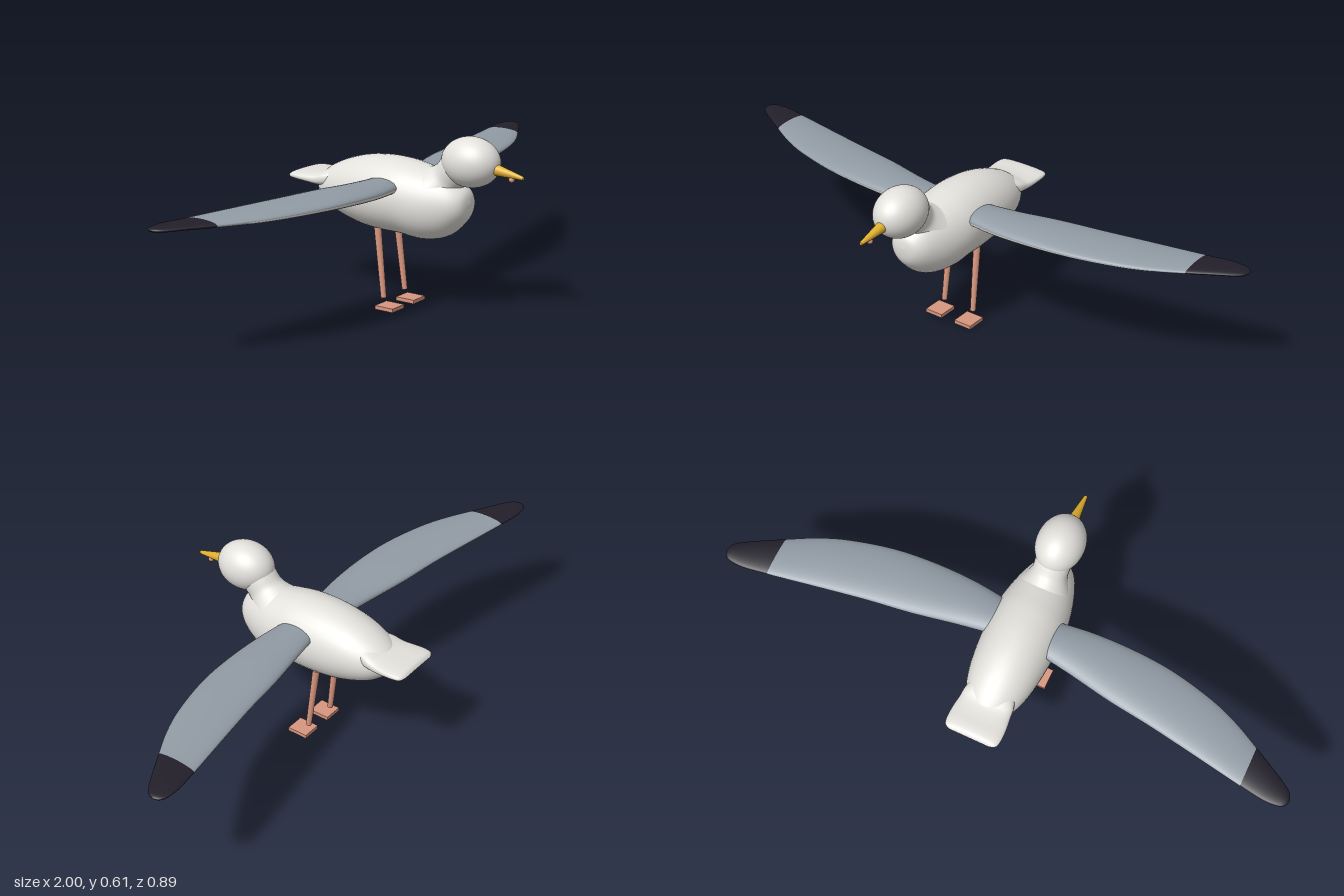
import * as THREE from 'three';

const mat = (name, color) => {
  const m = new THREE.MeshStandardMaterial({ color });
  m.name = name;
  return m;
};

// Smoothly samples rows of numbers, `sub` steps between each pair of rows.
function sampleRows(rows, sub) {
  const curves = rows[0].map((_, k) =>
    new THREE.SplineCurve(rows.map((r, i) => new THREE.Vector2(i, r[k]))));
  const count = (rows.length - 1) * sub;
  return Array.from({ length: count + 1 }, (_, i) => curves.map((c) => c.getPoint(i / count).y));
}

// Skins a list of closed rings; materialOf(ring, side) picks a group per quad.
function loft(rings, flip = false, materialOf = () => 0) {
  const n = rings[0].length;
  const buckets = [];
  for (let i = 0; i < rings.length - 1; i++) {
    for (let j = 0; j < n; j++) {
      const a = i * n + j, b = i * n + (j + 1) % n, c = a + n, d = b + n;
      const m = materialOf(i, j);
      (buckets[m] ||= []).push(...(flip ? [a, b, c, b, d, c] : [a, c, b, b, c, d]));
    }
  }
  const geo = new THREE.BufferGeometry().setFromPoints(rings.flat());
  let start = 0;
  buckets.forEach((b, m) => { geo.addGroup(start, b.length, m); start += b.length; });
  geo.setIndex(buckets.flat());
  geo.computeVertexNormals();
  return geo;
}

const spow = (v, p) => Math.sign(v) * Math.abs(v) ** p;

// Loft along z from rows of [z, top, bottom, halfWidth].
function loftAlongZ(rows, power = 1) {
  return loft(sampleRows(rows, 4).map(([z, top, bottom, hx]) =>
    Array.from({ length: 40 }, (_, j) => {
      const a = j / 40 * Math.PI * 2;
      return new THREE.Vector3(Math.max(hx, 0.0005) * spow(Math.cos(a), power),
        (top + bottom) / 2 + Math.max(top - bottom, 0.001) / 2 * spow(Math.sin(a), power), z);
    })));
}

// Tapered rod between two points.
function rod(from, to, r0, r1) {
  const dir = to.clone().sub(from);
  const geo = new THREE.CylinderGeometry(r1, r0, dir.length(), 20);
  geo.applyQuaternion(new THREE.Quaternion().setFromUnitVectors(
    new THREE.Vector3(0, 1, 0), dir.clone().normalize()));
  const mid = from.clone().add(to).multiplyScalar(0.5);
  return geo.translate(mid.x, mid.y, mid.z);
}

export function createModel() {
  const model = new THREE.Group();
  model.name = 'seabird';
  const white = mat('white plumage', 0xe3e1dc);
  const grey = mat('grey wing', 0x929ca5);
  const black = mat('black wing tip', 0x221f2a);
  const yellow = mat('yellow beak', 0xdfae2c);
  const pink = mat('pink leg', 0xd8967f);
  const add = (name, geo, material, parent = model) => {
    const mesh = new THREE.Mesh(geo, material);
    mesh.name = name;
    parent.add(mesh);
    return mesh;
  };

  // Body with a full chest
  add('body', loftAlongZ([
    [0.242, 0.39, 0.39, 0], [0.235, 0.425, 0.345, 0.04], [0.21, 0.45, 0.31, 0.068],
    [0.17, 0.475, 0.275, 0.088], [0.12, 0.488, 0.256, 0.105], [0.06, 0.5, 0.25, 0.118],
    [0, 0.51, 0.257, 0.124], [-0.08, 0.513, 0.258, 0.124], [-0.16, 0.505, 0.266, 0.118],
    [-0.23, 0.487, 0.284, 0.107], [-0.29, 0.462, 0.308, 0.088], [-0.33, 0.437, 0.337, 0.062],
    [-0.352, 0.415, 0.362, 0.035], [-0.36, 0.39, 0.39, 0],
  ]), white);

  // Flat, square-ended tail
  add('tail', loftAlongZ([
    [-0.22, 0.46, 0.38, 0.06], [-0.29, 0.446, 0.384, 0.085], [-0.33, 0.434, 0.385, 0.09],
    [-0.37, 0.43, 0.392, 0.095], [-0.41, 0.43, 0.397, 0.096], [-0.435, 0.426, 0.402, 0.09],
    [-0.445, 0.414, 0.414, 0.07],
  ], 0.75), white);

  // Neck leaning forward into the head
  const neckProfile = [[0.1, -0.03], [0.09, 0], [0.07, 0.035], [0.06, 0.06], [0.06, 0.09], [0.06, 0.12]];
  const neck = add('neck', new THREE.LatheGeometry(
    new THREE.SplineCurve(neckProfile.map((p) => new THREE.Vector2(...p))).getPoints(20), 36), white);
  neck.position.set(0, 0.425, 0.125);
  neck.rotation.x = 0.72;

  const head = add('head', new THREE.SphereGeometry(1, 40, 28), white);
  head.scale.set(0.081, 0.083, 0.103);
  head.position.set(0, 0.529, 0.245);

  // Beak with a spot under its tip
  add('beak', rod(new THREE.Vector3(0, 0.517, 0.33), new THREE.Vector3(0, 0.5, 0.443), 0.02, 0.006), yellow);
  add('beakSpot', new THREE.SphereGeometry(0.01, 16, 12).translate(0, 0.491, 0.399), pink);

  // Wings: rows of [x, leading z, trailing z, middle y, half thickness]
  const wingRows = sampleRows([
    [0.05, 0.02, -0.095, 0.43, 0.027], [0.2, 0.04, -0.12, 0.431, 0.027],
    [0.35, 0.042, -0.15, 0.436, 0.026], [0.5, 0.028, -0.172, 0.44, 0.022],
    [0.65, -0.008, -0.198, 0.442, 0.019], [0.75, -0.047, -0.216, 0.443, 0.016],
    [0.84, -0.095, -0.232, 0.444, 0.013], [0.92, -0.14, -0.245, 0.446, 0.011],
    [0.97, -0.17, -0.243, 0.446, 0.009], [0.992, -0.19, -0.232, 0.446, 0.006],
    [1, -0.212, -0.214, 0.446, 0.0005],
  ], 4);
  const sides = 32;
  // Grey above, white below, grey band before the black tip
  const wingMaterial = (i, j) => (i >= 24 ? 2 : j < sides / 2 || i >= 20 ? 1 : 0);
  for (const s of [1, -1]) {
    const side = s > 0 ? 'left' : 'right';
    const rings = wingRows.map(([x, lead, trail, y, h]) =>
      Array.from({ length: sides }, (_, j) => {
        const a = j / sides * Math.PI * 2;
        return new THREE.Vector3(s * x, y + h * Math.sin(a),
          (lead + trail) / 2 + (lead - trail) / 2 * Math.cos(a));
      }));
    add(side + 'Wing', loft(rings, s < 0, wingMaterial), [white, grey, black]);

    // Leg and flat foot
    add(side + 'Leg', rod(new THREE.Vector3(s * 0.061, 0.036, -0.06),
      new THREE.Vector3(s * 0.056, 0.275, -0.087), 0.0095, 0.0125), pink);
    add(side + 'Foot', new THREE.BoxGeometry(0.067, 0.013, 0.073).translate(s * 0.061, 0.0075, -0.036), pink);
  }
  return model;
}
